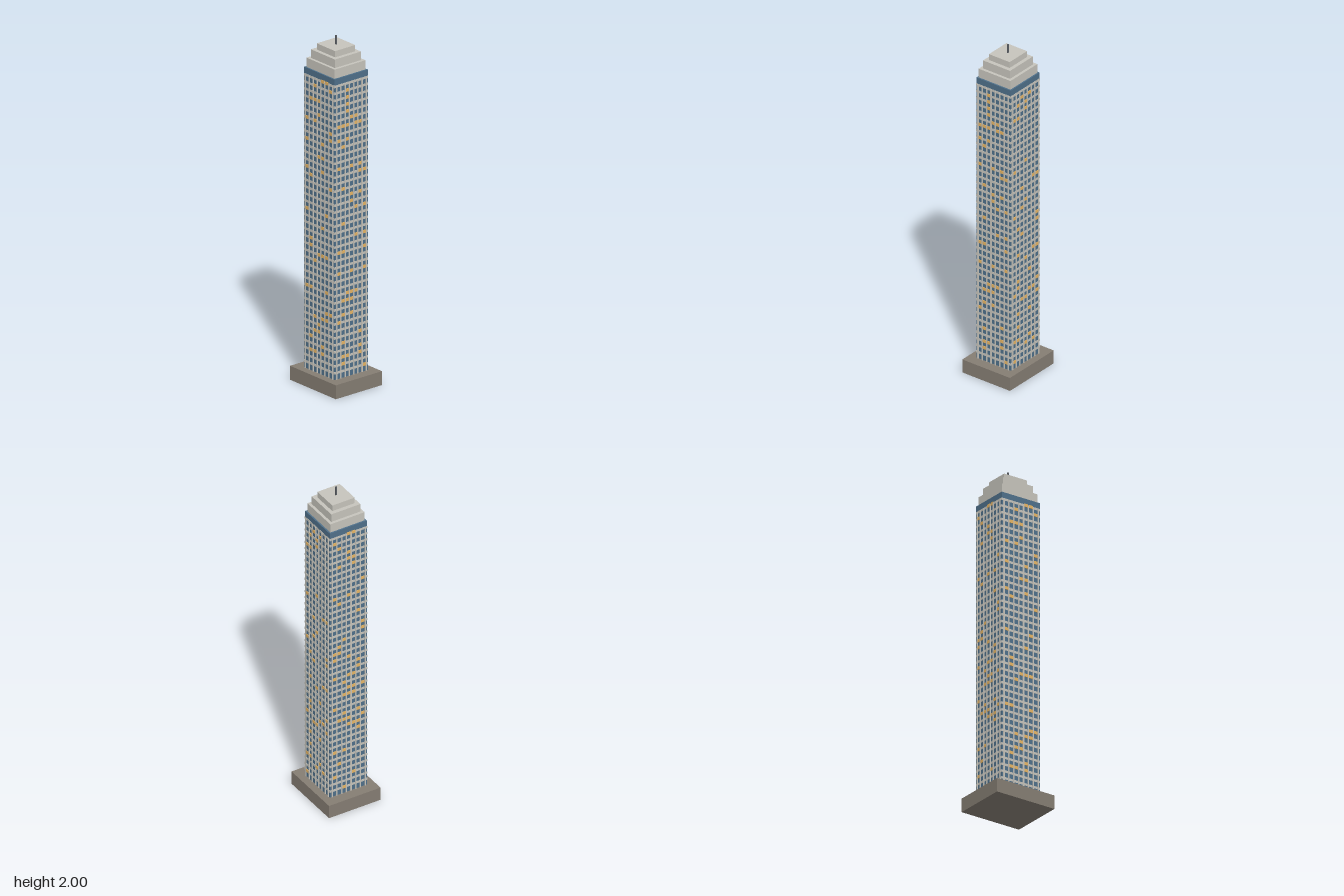
import * as THREE from 'three';
import { mergeGeometries } from 'three/addons/utils/BufferGeometryUtils.js';

const material = (name, color) => {
  const m = new THREE.MeshStandardMaterial({ color });
  m.name = name;
  return m;
};

// box given by its size and centre
const box = (w, h, d, x, y, z) => new THREE.BoxGeometry(w, h, d).translate(x, y, z);

// small seeded generator for the lit windows
function seeded(seed) {
  return () => {
    seed = (seed * 1664525 + 1013904223) % 4294967296;
    return seed / 4294967296;
  };
}

export function createModel() {
  const tower = new THREE.Group();
  tower.name = 'tower';
  const plinthStone = material('plinth stone', 0x857d73);
  const blueGlass = material('blue glass', 0x4f708a);
  const paleStone = material('pale stone', 0xc6c4bc);
  const litGlass = material('lit window', 0xe6b566);
  const darkMetal = material('dark metal', 0x5a5e64);

  const add = (name, geometry, mat) => {
    const mesh = new THREE.Mesh(geometry, mat);
    mesh.name = name;
    tower.add(mesh);
  };

  const halfX = 0.126, halfZ = 0.117;
  const bottom = 0.08, finTop = 1.77, roof = 1.81;

  // plinth and glazed shaft
  add('plinth', box(0.38, bottom, 0.325, 0, bottom / 2, 0), plinthStone);
  add('shaft', box(halfX * 2, roof - bottom, halfZ * 2, 0, (roof + bottom) / 2, 0), blueGlass);

  // facades: vertical fins, floor bands and lit windows
  const columns = 7, floors = 42;
  const floorHeight = (finTop - bottom) / floors;
  const random = seeded(29);
  const fins = [], bands = [], windows = [];
  const faces = [
    { span: 0.226, out: halfZ, turn: 0 },
    { span: 0.208, out: halfX, turn: Math.PI / 2 },
    { span: 0.226, out: halfZ, turn: Math.PI },
    { span: 0.208, out: halfX, turn: -Math.PI / 2 },
  ];
  for (const { span, out, turn } of faces) {
    const pitch = span / columns;
    for (let c = 0; c <= columns; c++) {
      const x = -span / 2 + c * pitch;
      fins.push(box(0.007, finTop - bottom, 0.007, x, (finTop + bottom) / 2, out + 0.0015).rotateY(turn));
    }
    for (let f = 1; f <= floors; f++) {
      for (let c = 0; c < columns; c++) {
        if (random() > 0.15) continue;
        const x = -span / 2 + (c + 0.5) * pitch;
        windows.push(box(pitch - 0.007, 0.018, 0.004, x, bottom + f * floorHeight, out + 0.0015).rotateY(turn));
      }
    }
  }
  for (let f = 1; f <= floors; f++) {
    bands.push(box(halfX * 2 + 0.003, 0.014, halfZ * 2 + 0.003, 0, bottom + f * floorHeight - 0.002, 0));
  }
  add('verticalFins', mergeGeometries(fins), paleStone);
  add('floorBands', mergeGeometries(bands), paleStone);
  add('litWindows', mergeGeometries(windows), litGlass);

  // stepped crown: width, depth, bottom, top
  const tiers = [
    [0.234, 0.217, roof, 1.863],
    [0.199, 0.184, 1.863, 1.912],
    [0.152, 0.141, 1.912, 1.948],
  ];
  tiers.forEach(([w, d, y0, y1], i) =>
    add(`crownTier${i + 1}`, box(w, y1 - y0, d, 0, (y0 + y1) / 2, 0), paleStone));

  // roof mast
  add('mast', box(0.008, 0.052, 0.008, 0, 1.974, 0), darkMetal);
  return tower;
}
